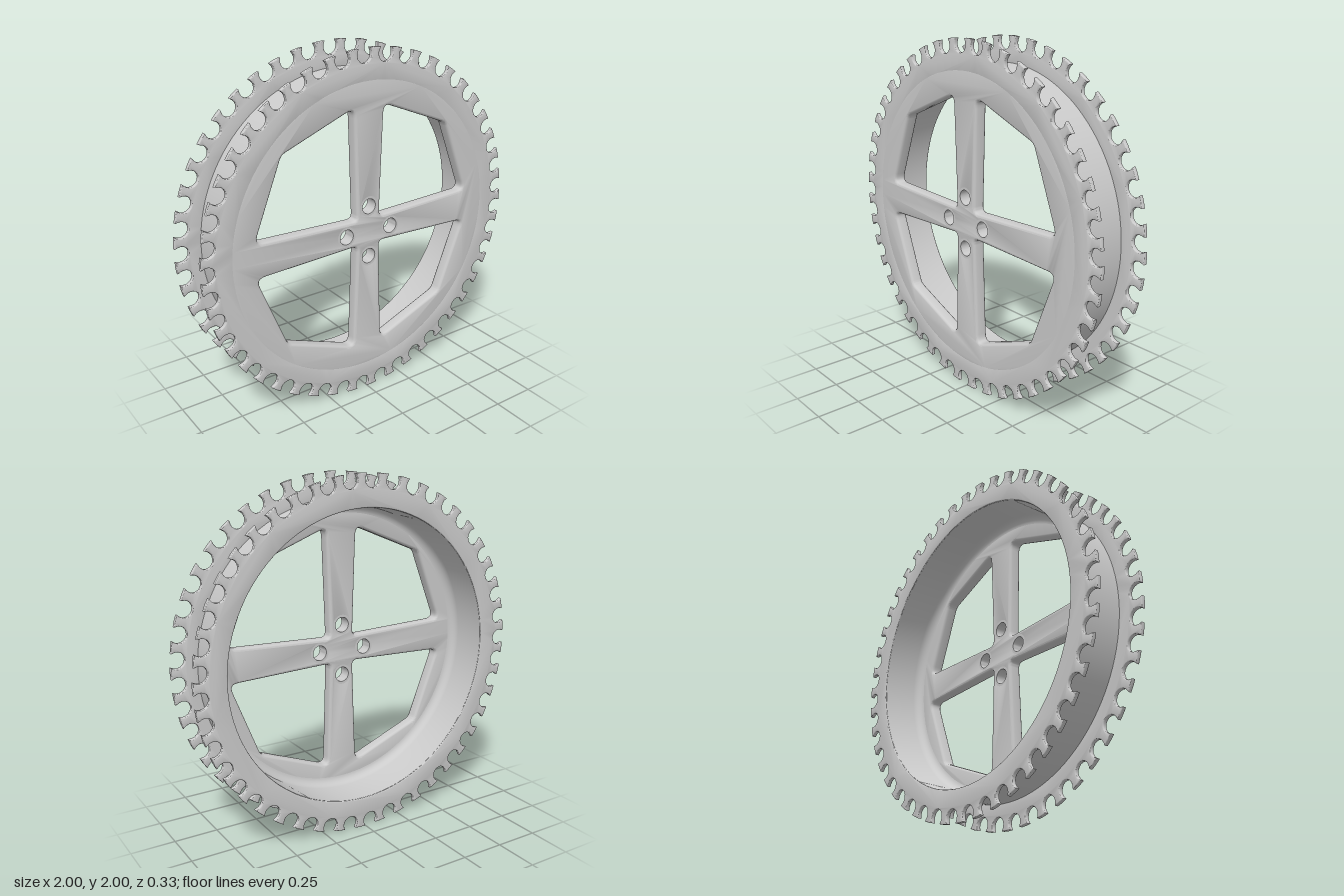
import * as THREE from 'three';
import { toCreasedNormals } from 'three/addons/utils/BufferGeometryUtils.js';

const TEETH = 45, SEGMENTS = 120;
const material = new THREE.MeshStandardMaterial({ color: 0xcccccc });

function addMesh(group, geometry, name) {
  const mesh = new THREE.Mesh(toCreasedNormals(geometry, 0.65), material);
  mesh.name = name;
  group.add(mesh);
  return mesh;
}

const polar = (r, a) => new THREE.Vector2(r * Math.cos(a), r * Math.sin(a));

function circle(r, n = SEGMENTS, cx = 0, cy = 0) {
  return Array.from({ length: n }, (_, i) =>
    polar(r, (i / n) * Math.PI * 2).add(new THREE.Vector2(cx, cy)));
}

// Extrudes a shape so that it fills z0..z1 including its rounded edges
function plate(outline, holes, z0, z1, bevel, thickness = bevel) {
  const shape = new THREE.Shape(outline);
  shape.holes = holes.map((points) => new THREE.Path(points));
  const geometry = new THREE.ExtrudeGeometry(shape, {
    depth: z1 - z0 - 2 * thickness,
    bevelEnabled: bevel > 0,
    bevelSize: bevel,
    bevelThickness: thickness,
    bevelSegments: 3,
  });
  return geometry.translate(0, 0, z0 + thickness);
}

// Wheel outline with a round notch between each pair of teeth
function toothedOutline() {
  const R = 0.995, c = 0.967, r = 0.05, steps = 12;
  const half = Math.acos((R * R + c * c - r * r) / (2 * R * c));
  const start = Math.atan2(R * Math.sin(half), R * Math.cos(half) - c);
  const points = [];
  for (let i = 0; i < TEETH; i++) {
    const a = Math.PI + (i / TEETH) * Math.PI * 2;
    const centre = polar(c, a);
    for (let k = 0; k <= steps; k++) {
      const turn = -start - (k / steps) * 2 * (Math.PI - start);
      points.push(polar(r, a + turn).add(centre));
    }
    points.push(polar(R, a + Math.PI / TEETH));
  }
  return points;
}

// Polygon with each corner [x, y, cut] rounded by a curve
function roundedPolygon(corners) {
  const points = [];
  corners.forEach(([x, y, cut], i) => {
    const p = new THREE.Vector2(x, y);
    const toward = (q) => new THREE.Vector2(q[0], q[1]).sub(p).setLength(cut).add(p);
    const before = toward(corners[(i + corners.length - 1) % corners.length]);
    const after = toward(corners[(i + 1) % corners.length]);
    points.push(...new THREE.QuadraticBezierCurve(before, p, after).getPoints(8));
  });
  return points;
}

export function createModel() {
  const wheel = new THREE.Group();
  wheel.name = 'sprocketWheel';
  wheel.position.y = 1;

  // Front web: four spokes between rounded windows
  const windowOutline = roundedPolygon([
    [0.06, 0.06, 0.05], [0.72, 0.083, 0.075], [0.54, 0.54, 0.03], [0.083, 0.72, 0.075],
  ]);
  const holes = [], boltCentres = [];
  for (let i = 0; i < 4; i++) {
    const a = (i * Math.PI) / 2;
    const origin = new THREE.Vector2();
    holes.push(windowOutline.map((p) => p.clone().rotateAround(origin, a)));
    boltCentres.push(polar(0.147, a));
  }
  boltCentres.forEach((p) => holes.push(circle(0.058, 32, p.x, p.y)));
  addMesh(wheel, plate(circle(0.832), holes, 0.09, 0.165, 0.014, 0.018), 'spokedWeb');

  // Crisp edged bolt holes
  boltCentres.forEach((p) => {
    const ring = plate(circle(0.058, 32, p.x, p.y), [circle(0.043, 32, p.x, p.y)], 0.09, 0.165, 0);
    addMesh(wheel, ring, 'boltHole');
  });

  // Toothed rings at the front and back
  const teeth = toothedOutline();
  addMesh(wheel, plate(teeth, [circle(0.832)], 0.14, 0.165, 0.005), 'frontToothedRing');
  addMesh(wheel, plate(teeth, [circle(0.826)], -0.165, -0.14, 0.005), 'backToothedRing');

  // Drum joining the rings, with a fillet where it meets the web
  const profile = [];
  for (let i = 0; i <= 6; i++) {
    const a = (i / 6) * (Math.PI / 2);
    profile.push(new THREE.Vector2(0.77 + 0.05 * Math.sin(a), 0.041 + 0.05 * Math.cos(a)));
  }
  profile.push(new THREE.Vector2(0.82, -0.159), new THREE.Vector2(0.855, -0.159),
    new THREE.Vector2(0.855, 0.15));
  addMesh(wheel, new THREE.LatheGeometry(profile, SEGMENTS).rotateX(Math.PI / 2), 'drum');

  const model = new THREE.Group();
  model.name = 'model';
  model.add(wheel);
  return model;
}
